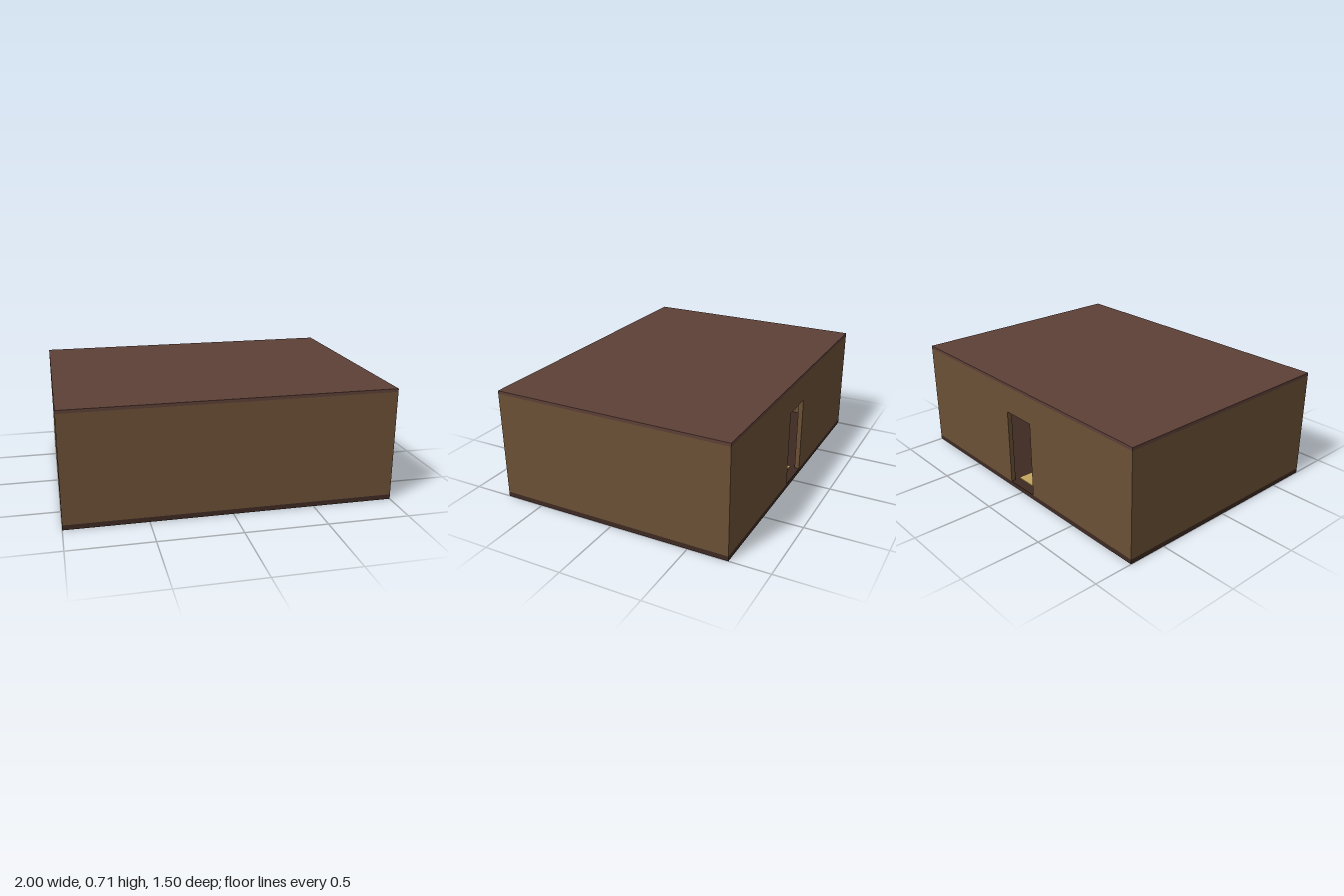
import * as THREE from 'three';

const W = 2, D = 1.5, T = 0.03;          // footprint and wall thickness
const FLOOR = 0.03, EAVE = 0.69, TOP = 0.71;
const DOOR_W = 0.23, DOOR_TOP = 0.52;

const material = (color) => new THREE.MeshStandardMaterial({ color });

export function createModel() {
  const house = new THREE.Group();
  house.name = 'house';
  const wallMat = material(0x6b5035);
  const roofMat = material(0x5d4037);
  const baseMat = material(0x3e2a22);
  const matMat = material(0xc4a45e);

  // Box given by its lower and upper corners
  const box = (name, mat, x0, y0, z0, x1, y1, z1) => {
    const mesh = new THREE.Mesh(new THREE.BoxGeometry(x1 - x0, y1 - y0, z1 - z0), mat);
    mesh.position.set((x0 + x1) / 2, (y0 + y1) / 2, (z0 + z1) / 2);
    mesh.name = name;
    house.add(mesh);
    return mesh;
  };

  // Floor slab and flat roof
  box('floor', baseMat, -W / 2, 0, -D / 2, W / 2, FLOOR, D / 2);
  box('roof', roofMat, -W / 2, EAVE, -D / 2, W / 2, TOP, D / 2);

  // Solid front and side walls
  box('frontWall', wallMat, -W / 2, FLOOR, D / 2 - T, W / 2, EAVE, D / 2);
  box('leftWall', wallMat, W / 2 - T, FLOOR, -D / 2 + T, W / 2, EAVE, D / 2 - T);
  box('rightWall', wallMat, -W / 2, FLOOR, -D / 2 + T, -W / 2 + T, EAVE, D / 2 - T);

  // Back wall outlined around the doorway
  const h = DOOR_W / 2;
  const outline = new THREE.Shape([
    [-W / 2, FLOOR], [-h, FLOOR], [-h, DOOR_TOP], [h, DOOR_TOP],
    [h, FLOOR], [W / 2, FLOOR], [W / 2, EAVE], [-W / 2, EAVE],
  ].map(([x, y]) => new THREE.Vector2(x, y)));
  const backWall = new THREE.Mesh(
    new THREE.ExtrudeGeometry(outline, { depth: T, bevelEnabled: false }), wallMat);
  backWall.position.z = -D / 2;
  backWall.name = 'backWall';
  house.add(backWall);

  // Straw mat inside the doorway and a low bench beyond it
  box('doorMat', matMat, -h, FLOOR, -0.69, h, FLOOR + 0.006, -0.47);
  box('bench', roofMat, -0.5, FLOOR, -0.265, 0.5, FLOOR + 0.08, -0.175);

  return house;
}
